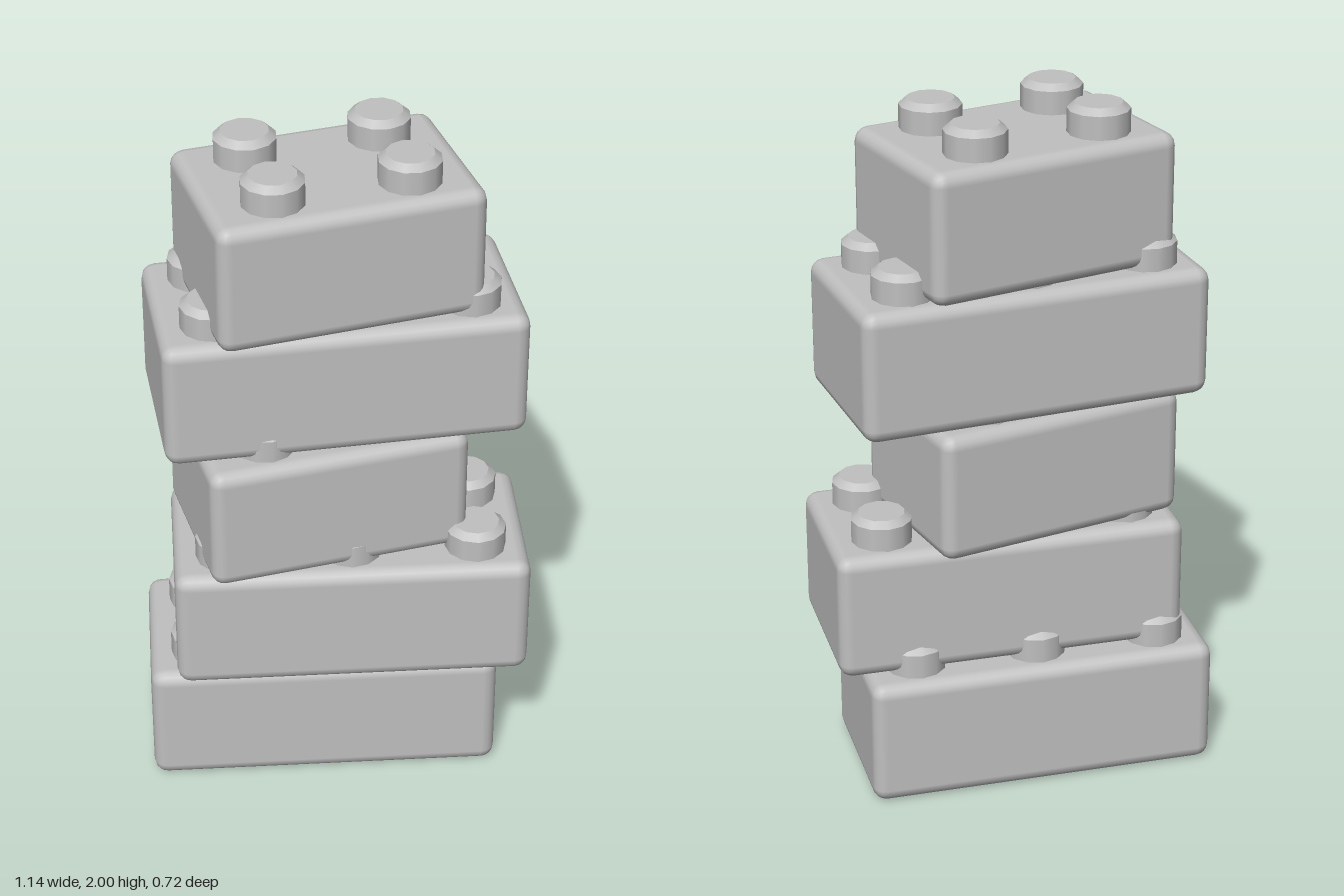
import * as THREE from 'three';
import { RoundedBoxGeometry } from 'three/addons/geometries/RoundedBoxGeometry.js';

const PITCH = 0.383, BODY_H = 0.378, DEPTH = 0.504;

// Bricks from bottom to top: stud columns, centre x, centre z, turn in degrees
const BRICKS = [
  [3, -0.045, -0.018, 6],
  [3, 0.04, 0.03, 6],
  [2, -0.048, 0.015, 19],
  [3, -0.003, -0.014, 12],
  [2, -0.02, 0, 20],
];

export function createModel() {
  const grey = new THREE.MeshStandardMaterial({ color: 0xc0c0c0 });
  grey.name = 'grey';

  const bodies = {
    2: new RoundedBoxGeometry(0.754, BODY_H, DEPTH, 2, 0.04),
    3: new RoundedBoxGeometry(1.018, BODY_H, DEPTH, 2, 0.04),
  };
  const studSide = new THREE.CylinderGeometry(0.088, 0.088, 0.075, 12, 1, true);
  const studTop = new THREE.CylinderGeometry(0.067, 0.088, 0.018, 12);

  const add = (parent, geometry, name, x, y, z) => {
    const mesh = new THREE.Mesh(geometry, grey);
    mesh.name = name;
    mesh.position.set(x, y, z);
    parent.add(mesh);
  };

  const model = new THREE.Group();
  model.name = 'brickTower';

  BRICKS.forEach(([columns, x, z, turn], i) => {
    const brick = new THREE.Group();
    brick.name = `brick${i + 1}`;
    brick.position.set(x, i * PITCH, z);
    brick.rotation.y = THREE.MathUtils.degToRad(turn);
    add(brick, bodies[columns], 'brickBody', 0, PITCH - BODY_H / 2 - (i ? 0 : 0.005), 0);

    // Two rows of studs with chamfered tops
    const step = columns === 2 ? 0.382 : 0.357;
    for (let c = 0; c < columns; c++) {
      for (const row of [-0.128, 0.128]) {
        const sx = (c - (columns - 1) / 2) * step;
        add(brick, studSide, 'studSide', sx, PITCH + 0.0295, row);
        add(brick, studTop, 'studTop', sx, PITCH + 0.076, row);
      }
    }
    model.add(brick);
  });
  return model;
}
